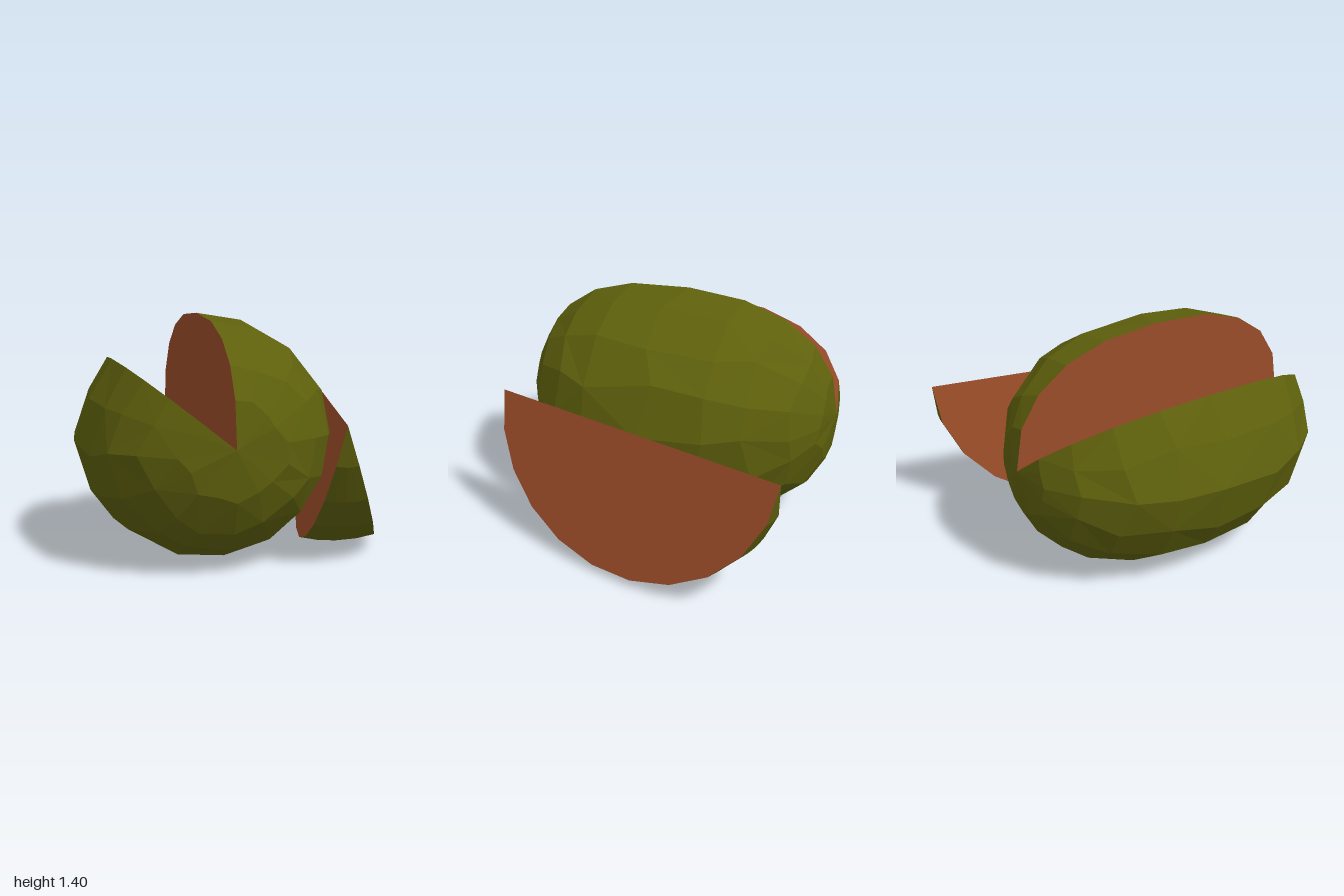
import * as THREE from 'three';

const rindMat = new THREE.MeshStandardMaterial({ color: 0x5e600c, flatShading: true });
const fleshMat = new THREE.MeshStandardMaterial({ color: 0x994c28, flatShading: true });
const rad = THREE.MathUtils.degToRad;

// Small seeded noise in -1..1 for the uneven facets
function makeNoise(seed) {
  return () => {
    seed = (seed * 16807) % 2147483647;
    return (seed / 2147483647) * 2 - 1;
  };
}

function mesh(name, triangles, material) {
  const geometry = new THREE.BufferGeometry().setFromPoints(triangles);
  geometry.computeVertexNormals();
  const m = new THREE.Mesh(geometry, material);
  m.name = name;
  return m;
}

// Solid swept about the local z axis from angle a0 to a1, closed by two flat cuts.
// point(angle, t) gives the rind, with t from the front tip (0) to the back tip (PI).
function cutFruit(name, point, a0, a1, sectors, rings, jitter = 0) {
  const noise = makeNoise(71);
  const grid = [];
  for (let i = 0; i <= sectors; i++) {
    const row = [];
    for (let j = 0; j <= rings; j++) {
      const free = i > 0 && i < sectors && j > 0 && j < rings ? jitter : 0;
      const a = a0 + ((a1 - a0) * (i + noise() * free)) / sectors;
      const t = (Math.PI * (j + noise() * free)) / rings;
      row.push(point(a, t));
    }
    grid.push(row);
  }

  // Rind, with alternating diagonals
  const skin = [];
  for (let i = 0; i < sectors; i++) {
    for (let j = 0; j < rings; j++) {
      const a = grid[i][j], b = grid[i][j + 1], c = grid[i + 1][j + 1], d = grid[i + 1][j];
      if (j === 0) skin.push(a, b, c);
      else if (j === rings - 1) skin.push(a, b, d);
      else if ((i + j) % 2) skin.push(a, b, c, a, c, d);
      else skin.push(a, b, d, b, c, d);
    }
  }

  // Flat cut faces, fanned from the middle of the axis
  const fan = (row, flip) => {
    const tris = [];
    const middle = new THREE.Vector3();
    for (let j = 0; j < rings; j++) {
      tris.push(middle, row[flip ? j + 1 : j], row[flip ? j : j + 1]);
    }
    return tris;
  };

  const group = new THREE.Group();
  group.name = name;
  group.add(
    mesh(name + 'Rind', skin, rindMat),
    mesh(name + 'CutFaceA', fan(grid[0], true), fleshMat),
    mesh(name + 'CutFaceB', fan(grid[sectors], false), fleshMat)
  );
  return group;
}

// Melon with a blunt front and a narrower back, taller below the axis than above
function melonPoint(a, t) {
  const ry = Math.sin(a) > 0 ? 0.67 : 0.75;
  const round = 1 / Math.hypot(Math.cos(a) / 0.735, Math.sin(a) / ry);
  // Flattened shoulder beside the left cut
  const shoulder = Math.cos(a - rad(148));
  const reach = shoulder > 0.5 ? Math.min(round, 0.648 / shoulder) : round;
  const power = Math.cos(t) > 0 ? 0.8 : 0.85 + 0.13 * Math.cos(a) ** 2;
  const r = reach * Math.pow(Math.max(Math.sin(t), 0), power);
  const z = 0.94 * Math.sign(Math.cos(t)) * Math.pow(Math.abs(Math.cos(t)), power);
  // Flattened where it rests
  return new THREE.Vector3(r * Math.cos(a), Math.max(r * Math.sin(a), -0.73), z);
}

// Regular elliptical profile of the slice
function slicePoint(a, t) {
  const r = 0.842 * Math.max(Math.sin(t), 0);
  return new THREE.Vector3(r * Math.cos(a), r * Math.sin(a), 0.958 * Math.cos(t));
}

export function createModel() {
  const model = new THREE.Group();
  model.name = 'cutMelon';

  // Melon with the wedge-shaped notch between upright and upper left
  const melon = cutFruit('melon', melonPoint, rad(141), rad(450), 14, 10, 0.17);
  melon.position.set(-0.184, 0.73, 0.055);
  melon.rotation.y = 0.134;

  // Slice lying on its rind beside the melon
  const slice = cutFruit('slice', slicePoint, rad(256.5), rad(287.3), 4, 11);
  slice.position.set(0.648, 0.84, -0.047);
  slice.rotation.y = -0.1;

  model.add(melon, slice);
  return model;
}
